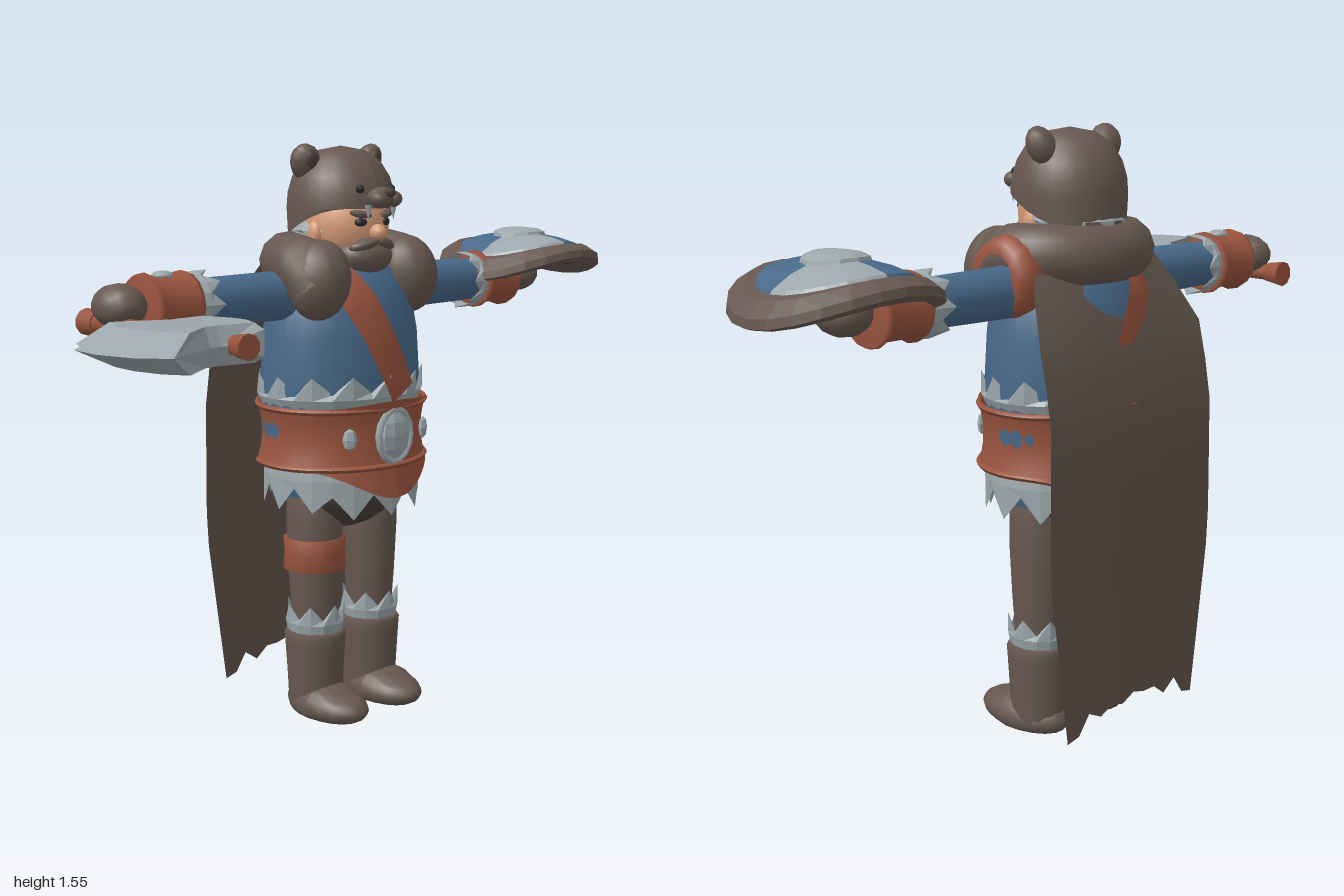
import * as THREE from 'three';

const CX = 0.04, CZ = -0.16;
const mat = (name, color) => new THREE.MeshStandardMaterial({ name, color, side: THREE.DoubleSide });
const M = {
  fur: mat('brown fur', 0x675850), cape: mat('cape brown', 0x62544c), dark: mat('dark brown', 0x4b413b),
  blue: mat('blue cloth', 0x48698a), grey: mat('pale grey', 0x9ca7ab), red: mat('red leather', 0x99543f),
  skin: mat('skin', 0xd69c78), black: mat('eye dark', 0x2b2d30),
};
const V = (pts) => pts.map(([x, y]) => new THREE.Vector2(x, y));

// Linear interpolation through [key, value] pairs with rising keys
function interp(table, k) {
  for (let i = 1; i < table.length; i++) {
    const [a, va] = table[i - 1], [b, vb] = table[i];
    if (k <= b) return va + (vb - va) * Math.max(0, (k - a) / (b - a));
  }
  return table[table.length - 1][1];
}
// Move every vertex by a rule
function warp(geo, rule) {
  const p = geo.attributes.position, v = new THREE.Vector3();
  for (let i = 0; i < p.count; i++) {
    v.fromBufferAttribute(p, i);
    rule(v, i);
    p.setXYZ(i, v.x, v.y, v.z);
  }
  geo.computeVertexNormals();
  return geo;
}
function facet(geo) {
  const g = geo.index ? geo.toNonIndexed() : geo;
  g.computeVertexNormals();
  return g;
}
// Ring of jagged fur: base at y=0, tips towards y=h
function furRing(rx, rz, h, teeth, flare = 1.08) {
  const n = teeth * 2;
  return facet(warp(new THREE.CylinderGeometry(1, 1, 1, n, 2, true), (v, i) => {
    const row = Math.floor(i / (n + 1)), odd = (i % (n + 1)) % 2;
    const s = [odd ? 1.02 : flare, flare, 1][row];
    v.set(v.x * rx * s, [odd ? h * 0.55 : h, h * 0.4, 0][row], v.z * rz * s);
  }));
}
const torsoProfile = [[0.62, 0.2], [0.7, 0.225], [0.8, 0.235], [0.92, 0.24], [1.05, 0.232], [1.15, 0.213], [1.22, 0.165], [1.28, 0.08]];

export function createModel() {
  const root = new THREE.Group();
  root.name = 'warrior';
  const add = (name, geo, m, pos = [0, 0, 0], rot = [0, 0, 0], scale = [1, 1, 1], parent = root) => {
    const mesh = new THREE.Mesh(geo, m);
    mesh.name = name;
    mesh.position.set(...pos); mesh.rotation.set(...rot); mesh.scale.set(...scale);
    parent.add(mesh);
    return mesh;
  };
  const ball = (w = 16, h = 12) => new THREE.SphereGeometry(1, w, h);
  const cyl = (a, b, h, n = 16) => new THREE.CylinderGeometry(a, b, h, n);

  // Torso and hips
  add('torso', new THREE.LatheGeometry(V(torsoProfile.map(([y, r]) => [r, y])), 28), M.blue, [CX, 0, -0.165], [0, Math.PI, 0], [1, 1, 0.77]);
  add('hips', ball(20, 12), M.dark, [CX, 0.66, CZ], [0, 0, 0], [0.18, 0.15, 0.155]);
  add('upperFurTrim', furRing(0.228, 0.182, 0.1, 13), M.grey, [CX, 0.85, -0.165]);
  add('skirtFur', warp(furRing(0.222, 0.19, -0.14, 12, 1.03), (v) => {
    if (v.y < -0.06 && v.z > 0.1) v.y -= 0.02;
  }), M.grey, [CX, 0.73, CZ]);

  // Belt with a dipped front plate
  const belt = new THREE.CylinderGeometry(1, 1, 2, 40, 6, true);
  add('belt', warp(belt, (v) => {
    const w = Math.pow(Math.max(0, v.z), 5), r = 0.233 + 0.014 * v.y * v.y;
    v.set(v.x * r, 0.787 + v.y * 0.08 + w * (v.y > 0 ? 0.018 : 0.085) * v.y, v.z * (r - 0.038 + 0.01 * w));
  }), M.red, [CX, 0, CZ]);
  for (const y of [0.71, 0.862])
    add('beltRim', warp(new THREE.TorusGeometry(1, 0.035, 5, 40), (v) => {
      const w = Math.pow(Math.max(0, -v.y), 5);
      v.set(v.x * 0.243, v.y * (0.207 + 0.008 * w), v.z * 0.25 + w * (y > 0.8 ? -0.018 : 0.08));
    }), M.red, [CX, y, CZ], [-Math.PI / 2, 0, 0].map((a) => -a));
  add('buckle', facet(ball(10, 6)), M.grey, [CX, 0.79, 0.04], [0, 0, 0], [0.057, 0.072, 0.026]);
  add('buckleRim', new THREE.TorusGeometry(0.058, 0.01, 6, 14), M.grey, [CX, 0.79, 0.045], [0, 0, 0], [1, 1.2, 1]);
  for (const s of [-1, 1])
    add('beltStud', facet(ball(6, 4)), M.grey, [CX + s * 0.135, 0.79, 0.017], [0, s * 0.6, 0], [0.02, 0.03, 0.012]);

  // Chest strap following the torso, front and back
  for (const side of [1, -1])
    add('chestStrap', warp(new THREE.PlaneGeometry(1, 1, 4, 14), (v) => {
      const t = 0.5 - v.y, x = -0.08 + 0.17 * t + v.x * 0.085, y = 1.225 - 0.33 * t + v.x * 0.045;
      const r = interp(torsoProfile, y) + 0.013;
      v.set(x, y, -0.165 + side * 0.78 * Math.sqrt(Math.max(0.0004, r * r - (x - CX) ** 2)));
    }), M.red);

  // Legs, boots and feet
  for (const s of [-1, 1]) {
    const leg = new THREE.Group();
    leg.name = s < 0 ? 'rightLeg' : 'leftLeg';
    leg.position.set(CX + s * 0.103, 0, CZ);
    root.add(leg);
    const put = (n, g, m, p, sc) => add(n, g, m, p, [0, 0, 0], sc, leg);
    put('trouser', new THREE.LatheGeometry(V([[0.062, 0.25], [0.07, 0.36], [0.077, 0.5], [0.076, 0.6], [0.06, 0.66]]), 16), M.fur);
    put('bootFur', furRing(0.073, 0.075, 0.09, 7, 1.1), M.grey, [0, 0.225, 0]);
    put('boot', new THREE.LatheGeometry(V([[0.074, 0.03], [0.077, 0.1], [0.083, 0.2], [0.085, 0.225], [0.078, 0.236], [0, 0.236]]), 16), M.fur);
    put('foot', warp(ball(18, 14), (v) => {
      v.set(v.x * 0.083, Math.max(0, 0.03 + v.y * (v.z > 0.3 ? 0.05 : 0.06)), v.z * 0.14 + 0.05);
    }), M.fur);
    if (s < 0) put('thighBand', new THREE.LatheGeometry(V([[0.07, 0.405], [0.086, 0.41], [0.082, 0.455], [0.086, 0.495], [0.07, 0.5]]), 16), M.red);
  }

  // Arms, built along +y and turned outwards
  for (const s of [-1, 1]) {
    const arm = new THREE.Group();
    arm.name = s < 0 ? 'rightArm' : 'leftArm';
    arm.position.set(CX, 1.158, -0.165);
    arm.rotation.z = -s * Math.PI / 2;
    root.add(arm);
    const put = (n, g, m, p, sc) => add(n, g, m, p, [0, 0, 0], sc, arm);
    put('sleeve', cyl(0.06, 0.067, 0.42, 16), M.blue, [0, 0.3, 0]);
    put('cuffFur', furRing(0.073, 0.073, -0.07, 8, 1.1), M.grey, [0, 0.522, 0]);
    put('bracer', new THREE.LatheGeometry(V([[0, 0.515], [0.08, 0.515], [0.084, 0.53], [0.073, 0.55], [0.073, 0.62], [0.084, 0.638], [0.08, 0.652], [0, 0.652]]), 16), M.red);
    put('bracerStud', ball(10, 6), M.grey, [-s * 0.074, 0.585, 0], [0.012, 0.027, 0.027]);
    put('fist', ball(14, 10), M.fur, [-s * 0.008, 0.712, 0.0], [0.055, 0.062, 0.076]);
    if (s > 0) put('shoulderBand', new THREE.LatheGeometry(V([[0.07, 0.19], [0.105, 0.19], [0.1, 0.225], [0.088, 0.255], [0.06, 0.258]]), 16), M.red, [-0.035, 0, 0], [1, 1, 0.95]);
  }

  // Fur mantle: a horseshoe open at the front
  const mantle = new THREE.CatmullRomCurve3([
    [-0.125, 1.17, -0.06], [-0.135, 1.23, -0.11], [-0.11, 1.24, -0.2], [-0.04, 1.24, -0.26], [CX, 1.24, -0.275],
    [0.12, 1.24, -0.26], [0.19, 1.24, -0.2], [0.205, 1.23, -0.11], [0.195, 1.17, -0.06]].map((p) => new THREE.Vector3(...p)));
  add('furMantle', new THREE.TubeGeometry(mantle, 36, 0.078, 12), M.fur);
  for (const s of [-1, 1])
    add('mantleEnd', ball(), M.fur, [CX + s * 0.16, 1.2, -0.07], [0, 0, s * 0.15], [0.083, 0.105, 0.082]);

  // Cape with a ragged hem
  add('cape', warp(new THREE.PlaneGeometry(2, 1, 12, 12), (v) => {
    const t = 0.5 - v.y, col = Math.round((v.x + 1) * 6);
    const hem = [0.06, 0.07, 0.12, 0.09, 0.12, 0.12, 0.13, 0.11, 0.12, 0.1, 0.12, 0.07, 0.06][col];
    const y = 1.25 + (hem - 1.25) * t, u = v.x;
    const half = interp([[0.06, 0.235], [0.5, 0.295], [1.08, 0.288], [1.25, 0.2]], y);
    const z = interp([[0.1, -0.392], [0.85, -0.388], [1.05, -0.355], [1.25, -0.27]], y);
    v.set(0.036 + u * half, y, z + u * u * (y > 1 ? 0.12 * (y - 1) : 0) + 0.006 * u * u);
  }), M.cape);

  // Head and face
  add('neckFur', furRing(0.11, 0.115, -0.06, 10, 1.15), M.grey, [CX, 1.345, -0.175]);
  add('head', ball(20, 14), M.skin, [CX, 1.335, -0.145], [0, 0, 0], [0.116, 0.125, 0.12]);
  add('nose', ball(10, 8), M.skin, [CX, 1.318, -0.02], [0, 0, 0], [0.022, 0.022, 0.026]);
  add('beard', ball(14, 10), M.fur, [CX, 1.255, -0.075], [0, 0, 0], [0.088, 0.052, 0.068]);
  for (const s of [-1, 1]) {
    add('moustache', ball(10, 8), M.fur, [CX + s * 0.036, 1.288, -0.03], [0, s * 0.4, -s * 0.25], [0.046, 0.015, 0.02]);
    add('ear', ball(10, 8), M.skin, [CX + s * 0.112, 1.315, -0.14], [0, 0, 0], [0.018, 0.033, 0.022]);
    add('eye', ball(8, 6), M.black, [CX + s * 0.045, 1.345, -0.036], [0, s * 0.4, 0], [0.018, 0.011, 0.008]);
    add('eyebrow', ball(8, 6), M.fur, [CX + s * 0.047, 1.366, -0.034], [0, s * 0.4, s * 0.15], [0.032, 0.01, 0.014]);
  }

  // Bear hood
  add('hood', warp(new THREE.LatheGeometry(V([[0.142, 1.3], [0.145, 1.38], [0.142, 1.42], [0.13, 1.46], [0.105, 1.5], [0.065, 1.528], [0, 1.54]]), 28), (v) => {
    if (v.y < 1.39) v.y = Math.max(v.y, 1.305 + 0.075 * THREE.MathUtils.smoothstep(v.z, -0.12, 0.12));
  }), M.fur, [CX, 0, CZ]);
  add('snout', ball(12, 8), M.fur, [CX, 1.408, -0.005], [0, 0, 0], [0.042, 0.028, 0.036]);
  add('snoutNose', ball(8, 6), M.dark, [CX, 1.422, 0.025], [0, 0, 0], [0.018, 0.013, 0.013]);
  for (const s of [-1, 1]) {
    add('bearCheek', ball(10, 8), M.fur, [CX + s * 0.025, 1.405, 0.012], [0, 0, 0], [0.026, 0.021, 0.022]);
    add('bearEye', ball(8, 6), M.black, [CX + s * 0.055, 1.43, -0.028], [0, 0, 0], [0.013, 0.011, 0.01]);
    add('tooth', new THREE.ConeGeometry(0.01, 0.04, 6), M.grey, [CX + s * 0.045, 1.37, -0.008], [Math.PI, 0, 0]);
    add('bearEar', ball(12, 8), M.fur, [CX + s * 0.112, 1.498, -0.175], [0.4, s * 0.3, -s * 0.4], [0.042, 0.05, 0.034]);
    add('innerEar', ball(10, 6), M.dark, [CX + s * 0.114, 1.502, -0.15], [0.2, s * 0.3, -s * 0.4], [0.024, 0.03, 0.014]);
  }

  // Shield, bent down along x
  const shield = new THREE.Group();
  shield.name = 'shield';
  shield.position.set(0.755, 1.165, -0.15);
  root.add(shield);
  const dish = (pts, start = 0, len = Math.PI * 2, n = 24) =>
    facet(warp(new THREE.LatheGeometry(V(pts), n, start, len), (v) => { v.y -= 1.2 * v.x * v.x; }));
  const onShield = (n, g, m) => add(n, g, m, [0, 0, 0], [0, 0, 0], [1, 1, 1], shield);
  onShield('shieldBack', dish([[0, 0.075], [0.1, 0.072], [0.19, 0.055]]), M.dark);
  onShield('shieldRim', dish([[0.18, 0.055], [0.22, 0.045], [0.238, 0.06], [0.235, 0.08], [0.2, 0.097], [0.168, 0.093]]), M.fur);
  for (let q = 0; q < 4; q++)
    onShield('shieldQuarter', dish([[0.175, 0.092], [0.17, 0.1], [0.12, 0.112], [0.06, 0.12]], q * Math.PI / 2, Math.PI / 2, 6), q % 2 ? M.grey : M.blue);
  onShield('shieldBoss', dish([[0.08, 0.112], [0.076, 0.126], [0.055, 0.134], [0, 0.138]], 0, Math.PI * 2, 12), M.grey);

  // Axe lying forward from the right hand
  const axe = new THREE.Group();
  axe.name = 'axe';
  axe.position.set(-0.69, 1.12, 0);
  axe.rotation.set(Math.PI / 2, 0, 0.03);
  root.add(axe);
  const onAxe = (n, a, b, h, m, y) => add(n, cyl(a, b, h, 10), m, [0, y, 0], [0, 0, 0], [1, 1, 1], axe);
  onAxe('axeHandle', 0.022, 0.022, 0.6, M.red, 0.03);
  onAxe('axePommel', 0.026, 0.034, 0.05, M.red, -0.265);
  onAxe('axeCollar', 0.036, 0.03, 0.045, M.blue, 0.085);
  onAxe('axeTip', 0.03, 0.025, 0.035, M.red, 0.337);
  const outline = [[-0.93, 0.045], [-0.735, 0.11], [-0.63, 0.095], [-0.605, 0.19], [-0.605, 0.25], [-0.63, 0.32], [-0.735, 0.305],
    [-0.77, 0.31], [-0.92, 0.385], [-0.975, 0.32], [-1.0, 0.22], [-0.99, 0.13], [-0.955, 0.1]];
  const pos = [], put3 = (...p) => p.forEach((c) => pos.push(...c));
  for (const s of [-1, 1])
    outline.forEach((p, i) => {
      const q = outline[(i + 1) % outline.length];
      const edge = ([x, z]) => [x, 1.12 + (x > -0.65 ? s * 0.03 : 0), z];
      const inner = ([x, z]) => [-0.76 + (x + 0.76) * (x < -0.8 ? 0.6 : 0.92), 1.12 + s * 0.044, 0.21 + (z - 0.21) * 0.82];
      const mid = [-0.76, 1.12 + s * 0.044, 0.21];
      const tris = [[edge(p), inner(p), edge(q)], [edge(q), inner(p), inner(q)], [inner(p), mid, inner(q)]];
      for (const t of tris) put3(...(s > 0 ? t : t.reverse()));
      if (s > 0) {
        const low = ([x, z]) => [x, 1.12 - (x > -0.65 ? 0.03 : 0), z];
        put3(edge(p), edge(q), low(p), edge(q), low(q), low(p));
      }
    });
  const blade = new THREE.BufferGeometry();
  blade.setAttribute('position', new THREE.Float32BufferAttribute(pos, 3));
  blade.computeVertexNormals();
  add('axeBlade', blade, M.grey);
  return root;
}
